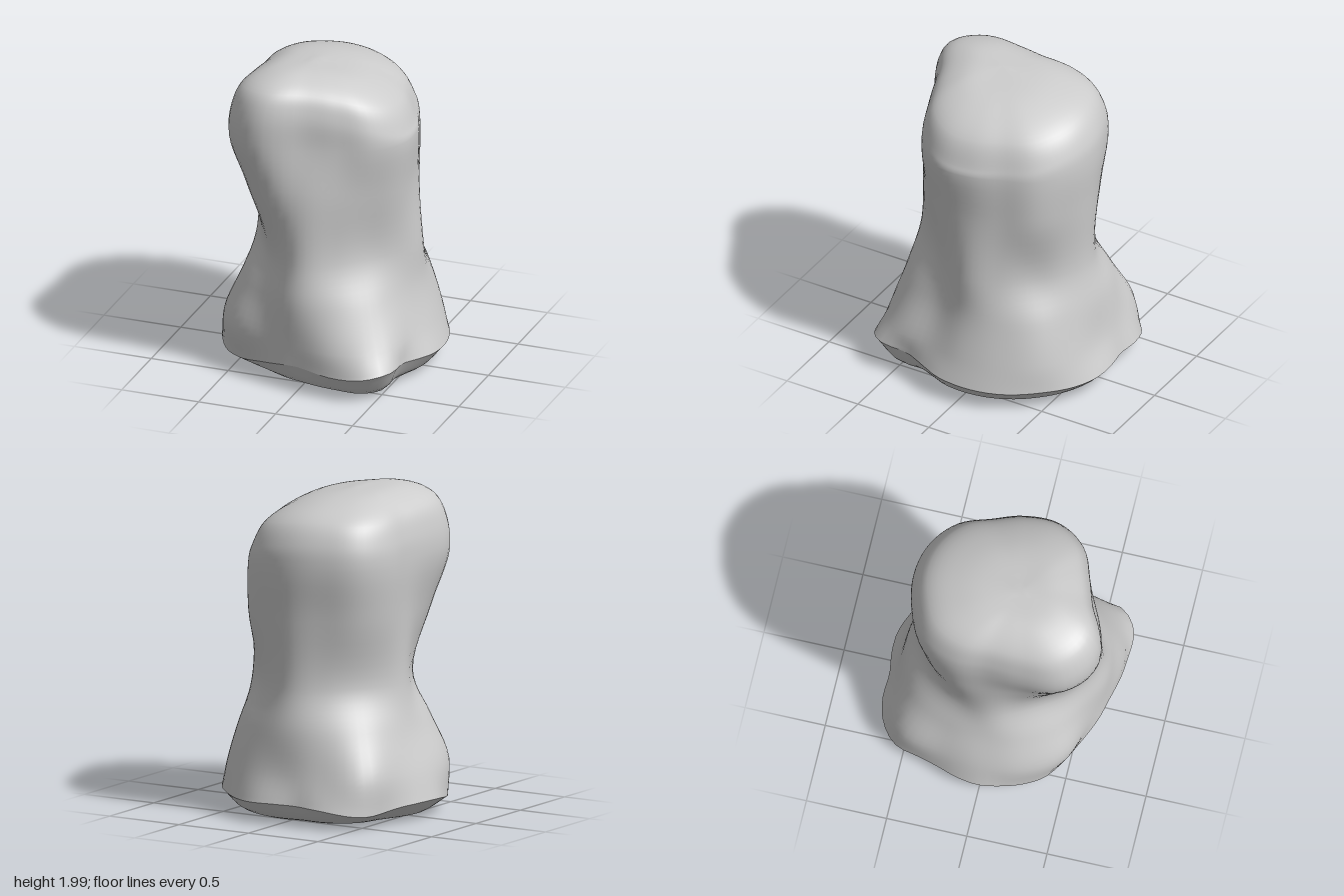
import * as THREE from 'three';
import { mergeVertices } from 'three/addons/utils/BufferGeometryUtils.js';

// Radii at even steps of angle, turning from +x towards +z
const BASE = [
  .70, .70, .69, .715, .83, .84, .76, .70, .655, .635, .62, .62, .64, .67, .68, .69,
  .705, .70, .695, .72, .78, .785, .75, .70, .705, .715, .71, .705, .70, .70, .70, .70,
];
const FOOT = [.645, .645, .76, .74, .655, .62, .68, .67, .65, .66, .75, .68, .64, .655, .675, .655];
const LOW = [.575, .56, .62, .65, .65, .59, .58, .56, .545, .57, .61, .61, .60, .59, .60, .58];
const WAIST = [.56, .52, .505, .55, .61, .54, .47, .455, .49, .485, .49, .51, .545, .52, .49, .52];
const CHEST = [.53, .55, .535, .55, .60, .645, .59, .51, .495, .53, .545, .535, .555, .55, .55, .515];
const HEAD = [.54, .58, .57, .53, .56, .71, .70, .57, .515, .56, .59, .57, .57, .565, .55, .51];
// Height of the lower rim
const RIM = [.15, .17, .20, .16, .18, .14, .09, .10, .13, .12, .09, .13, .14, .13, .14, .14];

const COLUMNS = 80;
const APEX = new THREE.Vector2(-.08, .12);
const mix = THREE.MathUtils.lerp;

// Smooth periodic reading of one of the lists above, t in 0..1
function sample(list, t) {
  const n = list.length, f = t * n, i = Math.floor(f), u = f - i;
  const [a, b, c, d] = [-1, 0, 1, 2].map(k => list[(i + k + n) % n]);
  return b + .5 * u * (c - a + u * (2 * a - 5 * b + 4 * c - d + u * (3 * (b - c) + d - a)));
}

// Skin a surface over a ring of vertical curves
function skin(columnPoints, rows, name) {
  const pos = [], index = [];
  for (let i = 0; i < COLUMNS; i++) {
    const curve = new THREE.CatmullRomCurve3(columnPoints(i / COLUMNS));
    for (let j = 0; j <= rows; j++) pos.push(...curve.getPoint(j / rows).toArray());
  }
  for (let i = 0; i < COLUMNS; i++) {
    for (let j = 0; j < rows; j++) {
      const a = i * (rows + 1) + j;
      const b = ((i + 1) % COLUMNS) * (rows + 1) + j;
      index.push(a, a + 1, b, b, a + 1, b + 1);
    }
  }
  let geo = new THREE.BufferGeometry();
  geo.setAttribute('position', new THREE.Float32BufferAttribute(pos, 3));
  geo.setIndex(index);
  geo = mergeVertices(geo, 1e-5); // joins the pole into one point
  geo.computeVertexNormals();
  const mesh = new THREE.Mesh(geo, new THREE.MeshStandardMaterial({ color: 0xcccccc }));
  mesh.name = name;
  return mesh;
}

// Flared foot, pinched waist, bulging head and sloping crown
function bodyColumn(t) {
  const c = Math.cos(t * Math.PI * 2), s = Math.sin(t * Math.PI * 2);
  const head = sample(HEAD, t);
  const rings = [[BASE, sample(RIM, t)], [FOOT, .31], [LOW, .57], [WAIST, .83], [CHEST, 1.25], [HEAD, 1.57]];
  const points = rings.map(([list, y]) => {
    const r = sample(list, t);
    return new THREE.Vector3(c * r, y, s * r);
  });
  // Crown rings lean to one side and fall away from a front-to-back ridge
  for (const [scale, y] of [[.97, 1.75], [.85, 1.875], [.5, 1.955], [0, 1.99]]) {
    const x = mix(APEX.x, c * head, scale), z = mix(APEX.y, s * head, scale);
    const tilt = scale ? -.1 * x - .28 * x * x + .07 * z : 0;
    points.push(new THREE.Vector3(x, y + tilt, z));
  }
  return points;
}

// Shallow underside, meeting the body at a crisp rim
function undersideColumn(t) {
  const c = Math.cos(t * Math.PI * 2), s = Math.sin(t * Math.PI * 2), r = sample(BASE, t);
  return [[0, .02], [.5, .012], [.84, .035], [1, sample(RIM, t)]]
    .map(([k, y]) => new THREE.Vector3(c * r * k, y, s * r * k));
}

export function createModel() {
  const group = new THREE.Group();
  group.name = 'rockPillar';
  group.add(skin(bodyColumn, 54, 'pillarBody'), skin(undersideColumn, 12, 'underside'));
  return group;
}
